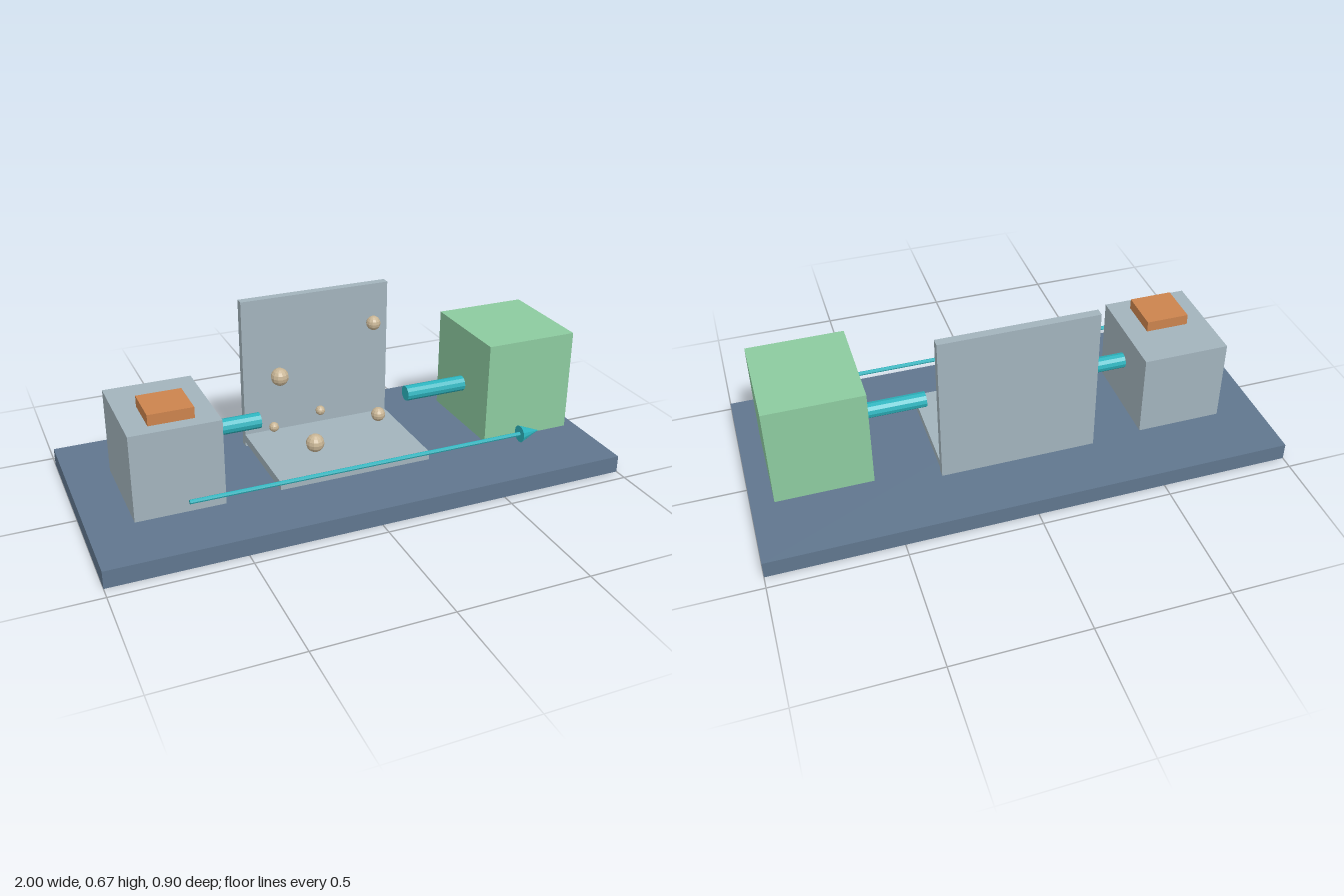
import * as THREE from 'three';

const mat = (name, color, flatShading = false) => {
  const m = new THREE.MeshStandardMaterial({ color, flatShading });
  m.name = name;
  return m;
};

export function createModel() {
  const slate = mat('slate', 0x60768e);
  const grey = mat('grey', 0xa2b3bc);
  const green = mat('green', 0x8cca9f);
  const orange = mat('orange', 0xcb834d);
  const teal = mat('teal', 0x2cb3bd, true);
  const sand = mat('sand', 0xc8b595, true);

  const model = new THREE.Group();
  model.name = 'apparatus';

  const add = (name, geometry, material, x, y, z) => {
    const mesh = new THREE.Mesh(geometry, material);
    mesh.name = name;
    mesh.position.set(x, y, z);
    model.add(mesh);
    return mesh;
  };

  // Box given by its extents along each axis
  const box = (name, material, [x0, x1], [y0, y1], [z0, z1]) =>
    add(name, new THREE.BoxGeometry(x1 - x0, y1 - y0, z1 - z0), material,
      (x0 + x1) / 2, (y0 + y1) / 2, (z0 + z1) / 2);

  // Rod or cone lying along x, from x0 to x1
  const rod = (name, x0, x1, y, z, r0, r1, sides) => {
    const geometry = new THREE.CylinderGeometry(r1, r0, x1 - x0, sides).rotateZ(-Math.PI / 2);
    return add(name, geometry, teal, (x0 + x1) / 2, y, z);
  };

  // Base and blocks
  box('base', slate, [-1, 1], [0, 0.067], [-0.45, 0.45]);
  box('sourceBlock', grey, [-0.833, -0.5], [0.067, 0.4], [-0.2, 0.2]);
  box('button', orange, [-0.75, -0.583], [0.4, 0.442], [-0.02, 0.147]);
  box('outletBlock', green, [0.55, 0.915], [0.1, 0.5], [-0.2, 0.2]);

  // Open chamber: floor tray and back panel
  box('chamberFloor', grey, [-0.3, 0.3], [0.085, 0.118], [-0.183, 0.217]);
  box('chamberBack', grey, [-0.3, 0.3], [0.067, 0.668], [-0.216, -0.183]);

  // Connecting pipes
  rod('inletPipe', -0.5, -0.3, 0.268, 0, 0.03, 0.03, 12);
  rod('outletPipe', 0.3, 0.55, 0.268, 0, 0.03, 0.03, 12);

  // Flow arrow along the front
  rod('arrowShaft', -0.667, 0.63, 0.185, 0.333, 0.008, 0.008, 8);
  rod('arrowHead', 0.62, 0.702, 0.185, 0.333, 0.033, 0, 12);

  // Floating particles: x, y, z, radius
  const particles = [
    [-0.167, 0.362, -0.14, 0.035],
    [0.213, 0.533, -0.118, 0.028],
    [-0.12, 0.186, 0.103, 0.035],
    [0.197, 0.186, -0.025, 0.028],
    [-0.217, 0.186, -0.078, 0.019],
    [0, 0.186, -0.143, 0.019],
  ];
  for (const [x, y, z, r] of particles) {
    add('particle', new THREE.SphereGeometry(r, 12, 8), sand, x, y, z);
  }

  return model;
}
